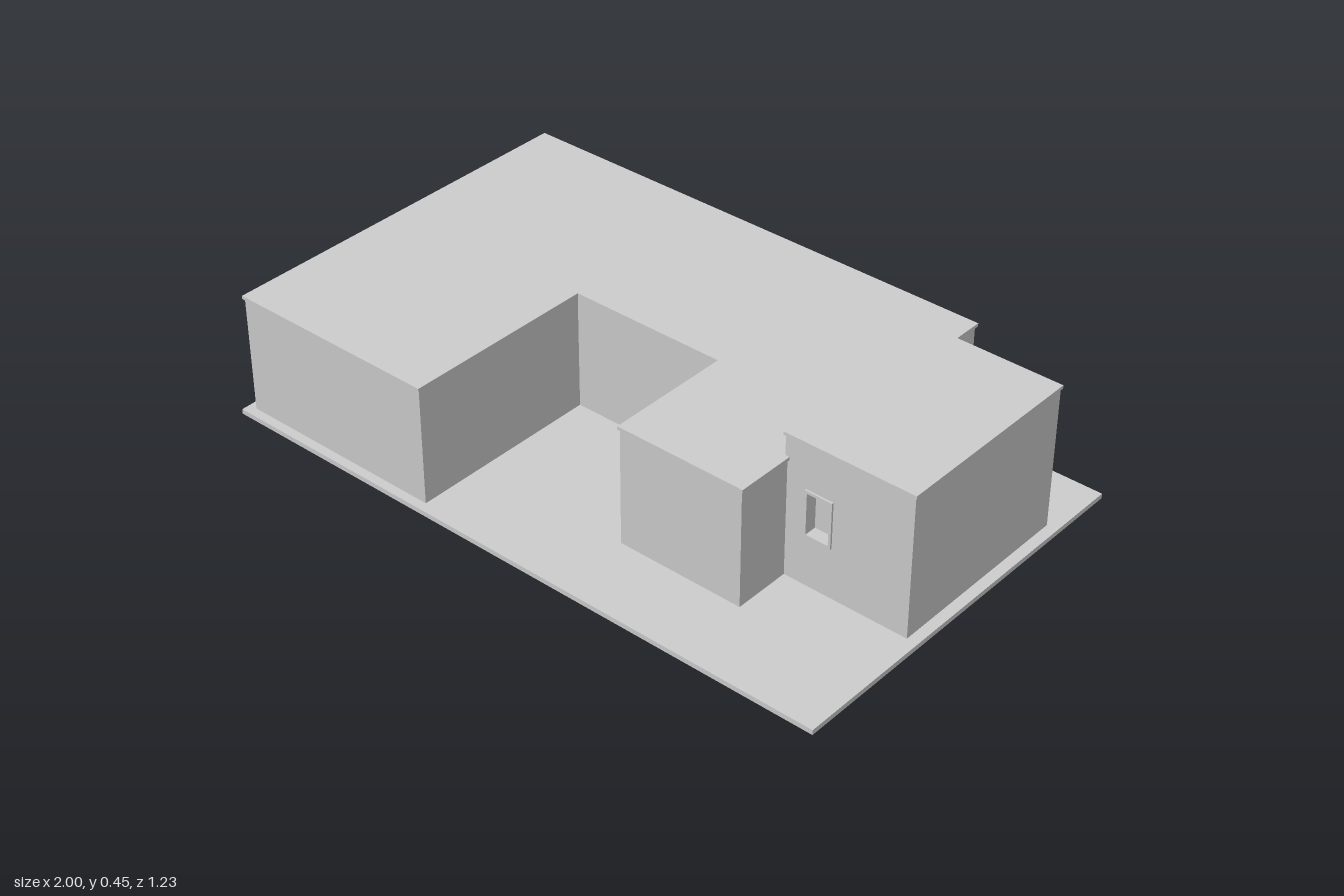
import * as THREE from 'three';

const plaster = new THREE.MeshStandardMaterial({ color: 0xcccccc });
plaster.name = 'pale grey';

const BASE = 0.015, WALL = 0.035, ROOF = 0.01;

function rectangle(Type, x0, y0, x1, y1) {
  const r = new Type();
  r.moveTo(x0, y0).lineTo(x1, y0).lineTo(x1, y1).lineTo(x0, y1).closePath();
  return r;
}

function part(geometry, name) {
  const mesh = new THREE.Mesh(geometry, plaster);
  mesh.name = name;
  return mesh;
}

const extrude = (shape, depth) =>
  new THREE.ExtrudeGeometry(shape, { depth, bevelEnabled: false });

// One wall from a to b (x, z), outside on its +z side; opening = [s0, y0, s1, y1]
function makeWall([ax, az], [bx, bz], top, opening) {
  const wall = new THREE.Group();
  wall.name = 'wall';
  const panel = rectangle(THREE.Shape, 0, BASE, Math.hypot(bx - ax, bz - az), top);
  if (opening) {
    const [x0, y0, x1, y1] = opening, f = 0.008;
    panel.holes.push(rectangle(THREE.Path, x0 + f, y0 + f, x1 - f, y1 - f));
    // Proud frame and deep-set pane
    const ring = rectangle(THREE.Shape, x0, y0, x1, y1);
    ring.holes.push(rectangle(THREE.Path, x0 + f, y0 + f, x1 - f, y1 - f));
    wall.add(part(extrude(ring, 0.006), 'windowFrame'));
    const pane = part(new THREE.BoxGeometry(x1 - x0, y1 - y0, 0.006), 'windowPane');
    pane.position.set((x0 + x1) / 2, (y0 + y1) / 2, -WALL);
    wall.add(pane);
  }
  const slab = part(extrude(panel, WALL), 'wallPanel');
  slab.position.z = -WALL;
  wall.add(slab);
  wall.position.set(ax, 0, az);
  wall.rotation.y = -Math.atan2(bz - az, bx - ax);
  return wall;
}

// Walls around a footprint, capped by a slightly overhanging roof
function makeBlock(name, footprint, roofline, height, openings) {
  const block = new THREE.Group();
  block.name = name;
  footprint.forEach((p, i) => block.add(
    makeWall(p, footprint[(i + 1) % footprint.length], height - ROOF, openings[i])));
  const shape = new THREE.Shape(roofline.map(([x, z]) => new THREE.Vector2(x, -z)));
  const roof = part(extrude(shape, ROOF).rotateX(-Math.PI / 2), 'roof');
  roof.position.y = height - ROOF;
  block.add(roof);
  return block;
}

export function createModel() {
  const model = new THREE.Group();
  model.name = 'house';

  // Ground slab
  const base = part(new THREE.BoxGeometry(2, BASE, 1.226), 'baseSlab');
  base.position.y = BASE / 2;
  model.add(base);

  // Low building wrapped round a front courtyard
  model.add(makeBlock('mainBuilding',
    [[-0.973, 0.585], [-0.313, 0.585], [-0.313, -0.013], [0.185, -0.013],
      [0.185, 0.375], [0.58, 0.375], [0.58, -0.588], [-0.973, -0.588]],
    [[-0.978, 0.59], [-0.309, 0.59], [-0.309, -0.009], [0.181, -0.009],
      [0.181, 0.38], [0.586, 0.38], [0.586, -0.593], [-0.978, -0.593]],
    0.383, { 3: [0.088, 0.14, 0.213, 0.31], 6: [0.65, 0.15, 0.77, 0.29] }));

  // Taller side block with a front window and a high window strip
  model.add(makeBlock('tallBlock',
    [[0.573, 0.2], [0.967, 0.2], [0.967, -0.405], [0.573, -0.405]],
    [[0.568, 0.204], [0.971, 0.204], [0.971, -0.409], [0.568, -0.409]],
    0.454, { 0: [0.067, 0.17, 0.153, 0.312], 3: [0.01, 0.385, 0.595, 0.44] }));

  return model;
}
